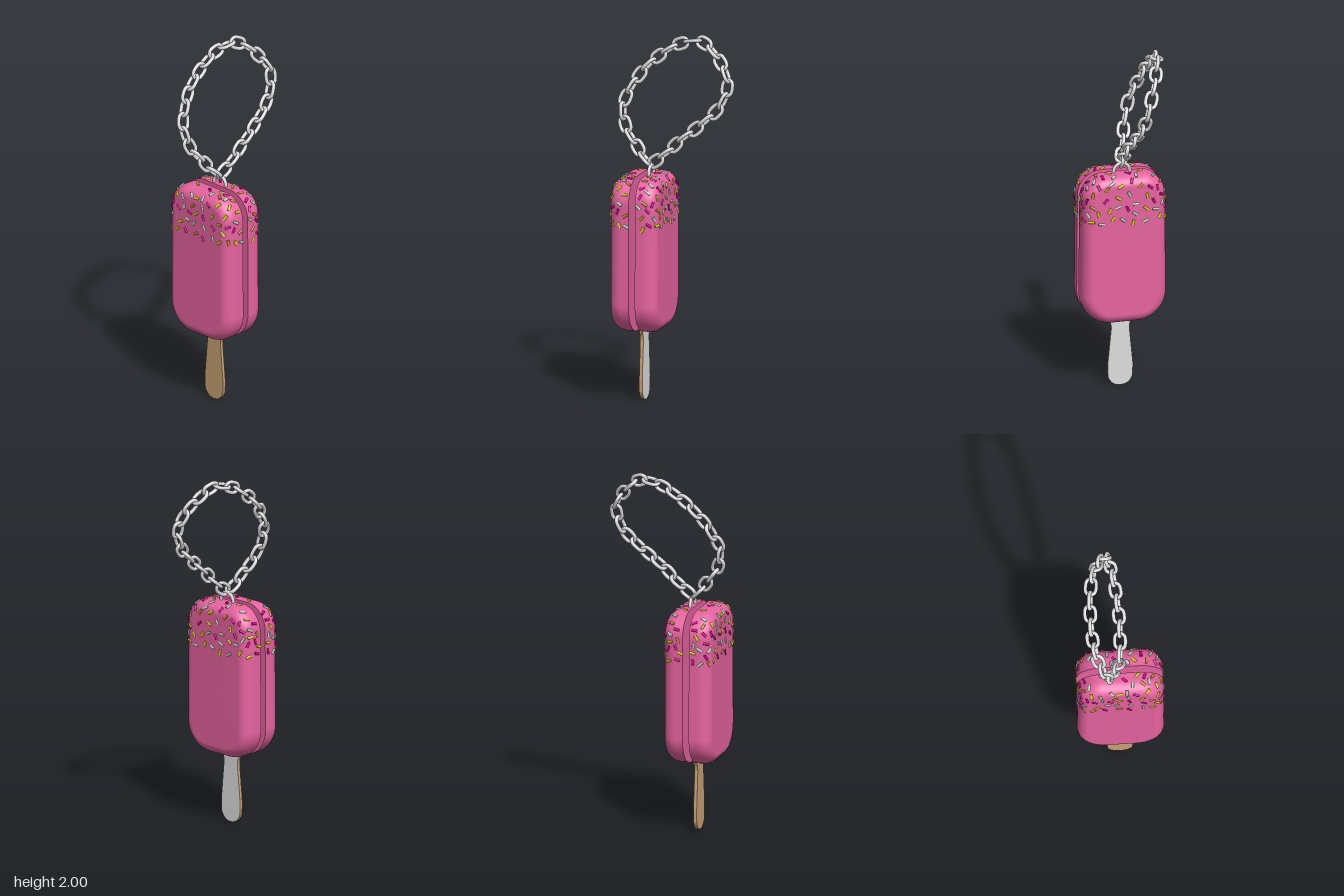
import * as THREE from 'three';
import { mergeGeometries } from 'three/addons/utils/BufferGeometryUtils.js';

const mat = (name, color, side = THREE.FrontSide) => {
  const m = new THREE.MeshStandardMaterial({ color, side });
  m.name = name;
  return m;
};

function seeded(seed) {
  return () => {
    seed = (seed * 1664525 + 1013904223) % 4294967296;
    return seed / 4294967296;
  };
}

// Rounded outline of the ice cream in (z, y), shrunk by an inset
function outline(inset) {
  const pts = [], w = 0.238, bottom = 0.393, top = 1.248, n = 10;
  const corners = [[1, top, 0.13, 0], [-1, top, 0.13, 1], [-1, bottom, 0.165, 2], [1, bottom, 0.165, 3]];
  for (const [s, edge, r, q] of corners) {
    const cy = edge === top ? top - r : bottom + r;
    for (let i = 0; i <= n; i++) {
      const a = (q + i / n) * Math.PI / 2;
      const y = cy + (r - inset) * Math.sin(a);
      const z = s * (w - r) + (r - inset) * Math.cos(a);
      pts.push([z * (1 - 0.03 * ((y - 0.75) / 0.43) ** 2), y]);
    }
  }
  return pts;
}

// One half of the coating: straight rim, rounded shoulder and flat outer face
function shellGeometry(x0, x1) {
  const rx = 0.075, inset = 0.06, layers = [[x0, 0]];
  for (let i = 0; i <= 10; i++) {
    const a = i / 10 * Math.PI / 2;
    layers.push([x1 - rx + rx * Math.sin(a), inset * (1 - Math.cos(a))]);
  }
  const pos = [], index = [];
  let n = 0;
  for (const [x, d] of layers) {
    const ring = outline(d);
    n = ring.length;
    ring.forEach(([z, y]) => pos.push(x, y, z));
  }
  for (let l = 0; l < layers.length - 1; l++) {
    for (let i = 0; i < n; i++) {
      const a = l * n + i, b = l * n + (i + 1) % n;
      index.push(a, b + n, b, a, a + n, b + n);
    }
  }
  const last = (layers.length - 1) * n, centre = pos.length / 3;
  pos.push(x1, 0.82, 0);
  for (let i = 0; i < n; i++) index.push(centre, last + (i + 1) % n, last + i);
  const g = new THREE.BufferGeometry();
  g.setAttribute('position', new THREE.Float32BufferAttribute(pos, 3));
  g.setIndex(index);
  g.computeVertexNormals();
  return g;
}

// Sprinkles laid along the top: x, z, angle in degrees, colour
const topSprinkles = [
  [-0.239, -0.172, 25, 2], [-0.192, -0.197, -40, 1], [-0.205, -0.081, -55, 0], [-0.214, 0.021, -50, 1],
  [-0.241, 0.063, 5, 2], [-0.19, 0.09, 50, 0], [-0.239, 0.121, -50, 3], [-0.197, 0.13, 20, 1],
  [-0.226, 0.154, -5, 2], [-0.192, 0.175, 45, 3], [-0.239, 0.195, -45, 0],
  [-0.099, -0.221, 25, 1], [-0.065, -0.199, 35, 3], [-0.072, -0.163, 40, 2], [-0.112, -0.099, 50, 0],
  [-0.063, -0.065, 5, 2], [-0.09, -0.026, -45, 1], [-0.061, 0.061, 40, 2], [-0.101, 0.079, -50, 0],
  [-0.068, 0.119, 0, 1], [-0.108, 0.148, 10, 3], [-0.065, 0.17, 40, 2], [-0.11, 0.194, -45, 1],
];

// Half-sunk rods over the upper part of a shell, one geometry per colour
function sprinkleGeometries(shell, seed, sign, centreX, count) {
  const rnd = seeded(seed), placed = [], sets = [[], [], [], []];
  const rod = new THREE.CylinderGeometry(0.0078, 0.0078, 0.033, 8);
  const place = (pt, normal, direction, colour) => {
    const dir = direction.projectOnPlane(normal).normalize();
    const side = new THREE.Vector3().crossVectors(dir, normal);
    const m = new THREE.Matrix4().makeBasis(side, dir, normal).setPosition(pt.clone().addScaledVector(normal, -0.002));
    sets[colour].push(rod.clone().applyMatrix4(m));
    placed.push(pt);
  };

  // Top row, dropped onto the surface
  const target = new THREE.Mesh(shell), ray = new THREE.Raycaster();
  for (const [x, z, deg, colour] of topSprinkles) {
    const lx = sign * (x - centreX);
    if (lx < 0) continue;
    ray.set(new THREE.Vector3(lx, 2, sign * z), new THREE.Vector3(0, -1, 0));
    const hit = ray.intersectObject(target)[0];
    const a = deg * Math.PI / 180;
    if (hit) place(hit.point, hit.face.normal, new THREE.Vector3(Math.cos(a), 0, Math.sin(a)).multiplyScalar(sign), colour);
  }

  // Faces and shoulders, scattered by area
  const p = shell.toNonIndexed().attributes.position, tris = [];
  let total = 0;
  for (let i = 0; i < p.count; i += 3) {
    const t = new THREE.Triangle();
    t.setFromAttributeAndIndices(p, i, i + 1, i + 2);
    if (Math.max(t.a.y, t.b.y, t.c.y) < 0.97) continue;
    total += t.getArea();
    tris.push({ t, total });
  }
  const order = [0, 1, 2, 0, 2, 1, 3];
  for (let tries = 0; tries < 20000 && placed.length < count; tries++) {
    const pick = rnd() * total;
    const { t } = tris.find((e) => e.total >= pick);
    let u = rnd(), v = rnd();
    if (u + v > 1) { u = 1 - u; v = 1 - v; }
    const pt = t.a.clone().multiplyScalar(1 - u - v).addScaledVector(t.b, u).addScaledVector(t.c, v);
    const normal = t.getNormal(new THREE.Vector3());
    const gap = normal.x > 0.9 ? 0.048 : 0.04;
    if (normal.y > 0.65 || pt.y < 0.985 || pt.x < 0.032) continue;
    if (placed.some((q) => q.distanceTo(pt) < gap)) continue;
    const dir = new THREE.Vector3(rnd() - 0.5, rnd() - 0.5, rnd() - 0.5);
    place(pt, normal, dir, order[placed.length % order.length]);
  }
  return sets.map((s) => mergeGeometries(s));
}

export function createModel() {
  const model = new THREE.Group();
  const pink = mat('pink coating', 0xe6639f);
  const wood = mat('wood', 0xc8a274);
  const pale = mat('pale stick face', 0xdedede, THREE.DoubleSide);
  const steel = mat('steel', 0xdadadc);
  const sprinkles = [
    mat('yellow sprinkle', 0xd8d000), mat('magenta sprinkle', 0xd4008c),
    mat('mint sprinkle', 0xb0d4bc), mat('amber sprinkle', 0xc88a2c),
  ];
  const add = (parent, name, geometry, material) => {
    const m = new THREE.Mesh(geometry, material);
    m.name = name;
    parent.add(m);
    return m;
  };

  // Ice cream: two halves with an open gap between them
  const body = new THREE.Group();
  body.name = 'iceCream';
  body.position.x = -0.155;
  model.add(body);
  const x0 = 0.018, shell = shellGeometry(x0, 0.134);
  const innerShape = new THREE.Shape(outline(0).map(([z, y]) => new THREE.Vector2(z, y)));
  const inner = new THREE.ShapeGeometry(innerShape).rotateY(-Math.PI / 2).translate(x0, 0, 0);
  ['leftHalf', 'rightHalf'].forEach((name, k) => {
    const half = new THREE.Group();
    half.name = name;
    half.rotation.y = k * Math.PI;
    body.add(half);
    add(half, 'coating', shell, pink);
    add(half, 'innerFace', inner, pink);
    sprinkleGeometries(shell, 17 + k * 90, k ? -1 : 1, body.position.x, 62)
      .forEach((g, i) => add(half, 'sprinkles', g, sprinkles[i]));
  });

  // Stick: waisted at the top, wider and rounded at the bottom
  const s = new THREE.Shape();
  s.moveTo(-0.066, 0.405);
  s.lineTo(-0.064, 0.38);
  s.quadraticCurveTo(-0.05, 0.36, -0.05, 0.33);
  s.lineTo(-0.07, 0.12);
  s.lineTo(-0.068, 0.05);
  s.quadraticCurveTo(-0.05, 0, 0, 0);
  s.quadraticCurveTo(0.05, 0, 0.068, 0.05);
  s.lineTo(0.07, 0.12);
  s.lineTo(0.05, 0.33);
  s.quadraticCurveTo(0.05, 0.36, 0.064, 0.38);
  s.lineTo(0.066, 0.405);
  s.closePath();
  const stick = new THREE.ExtrudeGeometry(s, { depth: 0.018, bevelEnabled: false, curveSegments: 6 });
  add(body, 'stick', stick.translate(0, 0, -0.009).rotateY(Math.PI / 2), wood);
  add(body, 'stickFace', new THREE.ShapeGeometry(s, 6).rotateY(Math.PI / 2).translate(0.01, 0, 0), pale);
  add(body, 'stickTop', new THREE.BoxGeometry(0.018, 0.004, 0.132), pale).position.y = 0.406;

  // Eyelet on top of the left half
  const eyelet = add(model, 'eyelet', new THREE.TorusGeometry(0.045, 0.01, 8, 28), steel);
  eyelet.rotation.y = Math.PI / 2;
  eyelet.position.set(-0.118, 1.252, 0);

  // Chain: links strung along a closed loop, alternately turned a quarter
  const path = new THREE.CatmullRomCurve3([
    [-0.124, 1.31, 0], [-0.21, 1.394, -0.03], [-0.28, 1.49, -0.06], [-0.304, 1.595, -0.09], [-0.262, 1.706, -0.125],
    [-0.19, 1.807, -0.148], [-0.093, 1.89, -0.155], [0, 1.944, -0.152], [0.124, 1.966, -0.133], [0.225, 1.897, -0.095],
    [0.3, 1.775, -0.045], [0.272, 1.653, -0.02], [0.167, 1.542, 0], [0.05, 1.447, 0.01], [-0.034, 1.368, 0.008],
  ].map((p) => new THREE.Vector3(...p)), true);
  const linkPts = [];
  for (let i = 0; i < 12; i++) {
    const a = (i + 0.5) / 12 * Math.PI * 2;
    linkPts.push(new THREE.Vector3(Math.sign(Math.cos(a)) * 0.016 + 0.029 * Math.cos(a), 0.029 * Math.sin(a), 0));
  }
  const link = new THREE.TubeGeometry(new THREE.CatmullRomCurve3(linkPts, true), 32, 0.0105, 8, true);
  const chain = new THREE.Group();
  chain.name = 'chain';
  model.add(chain);
  const loopNormal = new THREE.Vector3(-0.14, 0.22, 1).normalize();
  const links = 26;
  for (let i = 0; i < links; i++) {
    const u = (i + 0.5) / links, t = path.getTangentAt(u);
    const n = loopNormal.clone().projectOnPlane(t).normalize();
    const across = i % 2 ? new THREE.Vector3().crossVectors(n, t) : n;
    const m = add(chain, 'chainLink', link, steel);
    const basis = new THREE.Matrix4().makeBasis(t, across, new THREE.Vector3().crossVectors(t, across));
    m.quaternion.setFromRotationMatrix(basis);
    m.position.copy(path.getPointAt(u));
  }
  return model;
}
